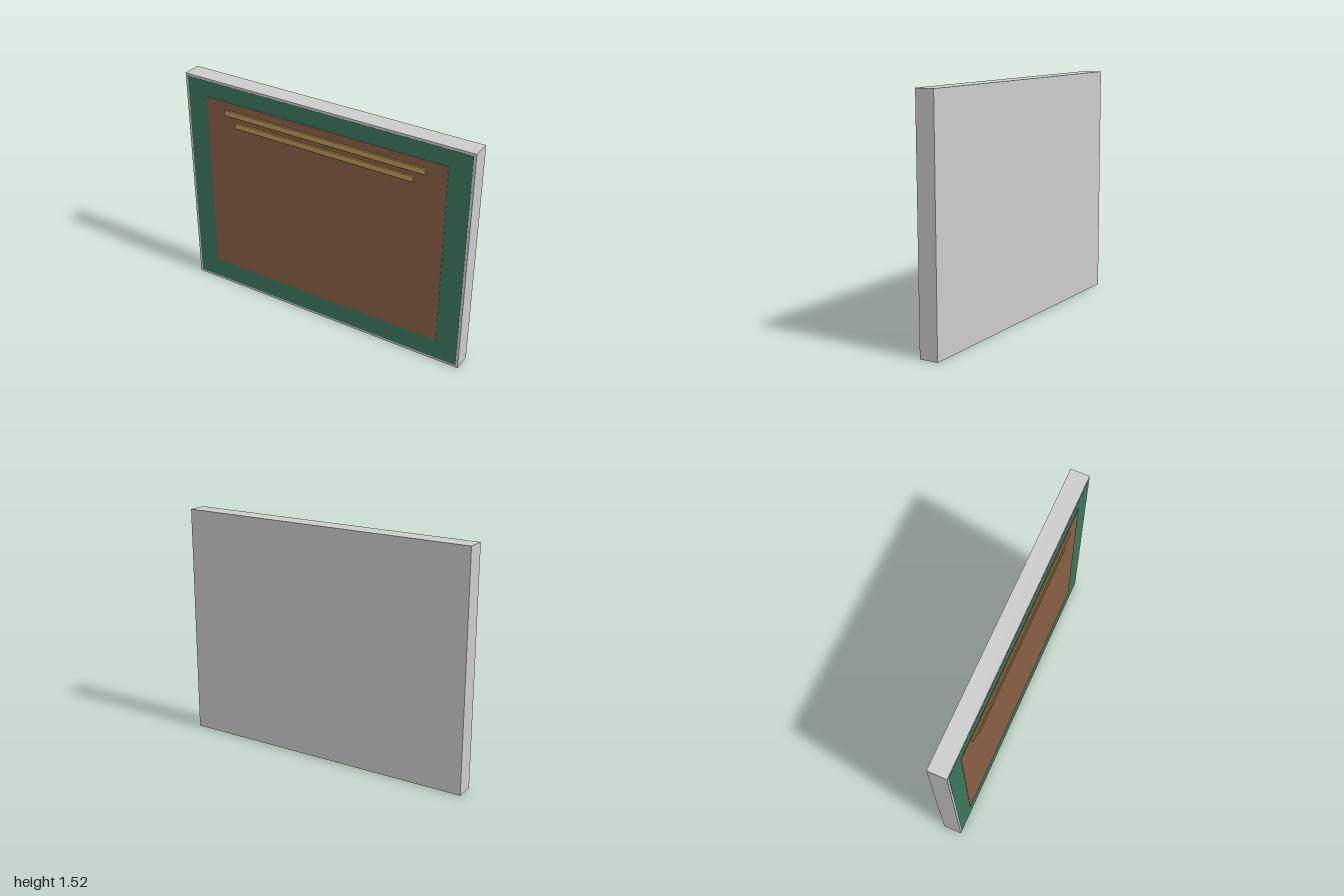
import * as THREE from 'three';

const WIDTH = 2, HEIGHT = 1.525, BACK = -0.067, FRONT = 0.055;

function material(color) {
  return new THREE.MeshStandardMaterial({ color, flatShading: true });
}

// Box given by its lower and upper corners
function slab(name, color, [x0, y0, z0], [x1, y1, z1]) {
  const mesh = new THREE.Mesh(new THREE.BoxGeometry(x1 - x0, y1 - y0, z1 - z0), material(color));
  mesh.position.set((x0 + x1) / 2, (y0 + y1) / 2, (z0 + z1) / 2);
  mesh.name = name;
  return mesh;
}

// Raised strip with cut outline corners and a chamfered front edge
function strip(name, halfWidth, y0, y1, cut) {
  const bevel = 0.003, depth = 0.067 - FRONT;
  const w = halfWidth - bevel, h = (y1 - y0) / 2 - bevel;
  const outline = new THREE.Shape([
    [-w + cut, -h], [w - cut, -h], [w, -h + cut], [w, h - cut],
    [w - cut, h], [-w + cut, h], [-w, h - cut], [-w, -h + cut],
  ].map(([x, y]) => new THREE.Vector2(x, y)));
  const geometry = new THREE.ExtrudeGeometry(outline, {
    depth: depth - bevel, bevelEnabled: true, bevelSize: bevel,
    bevelThickness: bevel, bevelSegments: 1,
  });
  const mesh = new THREE.Mesh(geometry, material(0xbd9857));
  mesh.position.set(0, (y0 + y1) / 2, FRONT);
  mesh.name = name;
  return mesh;
}

export function createModel() {
  const model = new THREE.Group();
  model.name = 'panel';
  const x = WIDTH / 2, rim = 0.016, lift = 0.001;

  // Grey casing
  model.add(slab('casing', 0xcccccc, [-x, 0, BACK], [x, HEIGHT, FRONT]));

  // Green inlay, leaving a thin grey rim around the front
  model.add(slab('frontInlay', 0x3b775e,
    [-x + rim, rim, FRONT - 0.01], [x - rim, HEIGHT - rim, FRONT + lift]));

  // Brown board
  model.add(slab('board', 0x8a5f44, [-0.84, 0.155, FRONT - 0.005], [0.84, 1.4, FRONT + 0.003]));

  // Two brass strips near the top of the board
  model.add(strip('upperStrip', 0.705, 1.306, 1.348, 0.001));
  model.add(strip('lowerStrip', 0.63, 1.235, 1.277, 0.006));

  return model;
}
